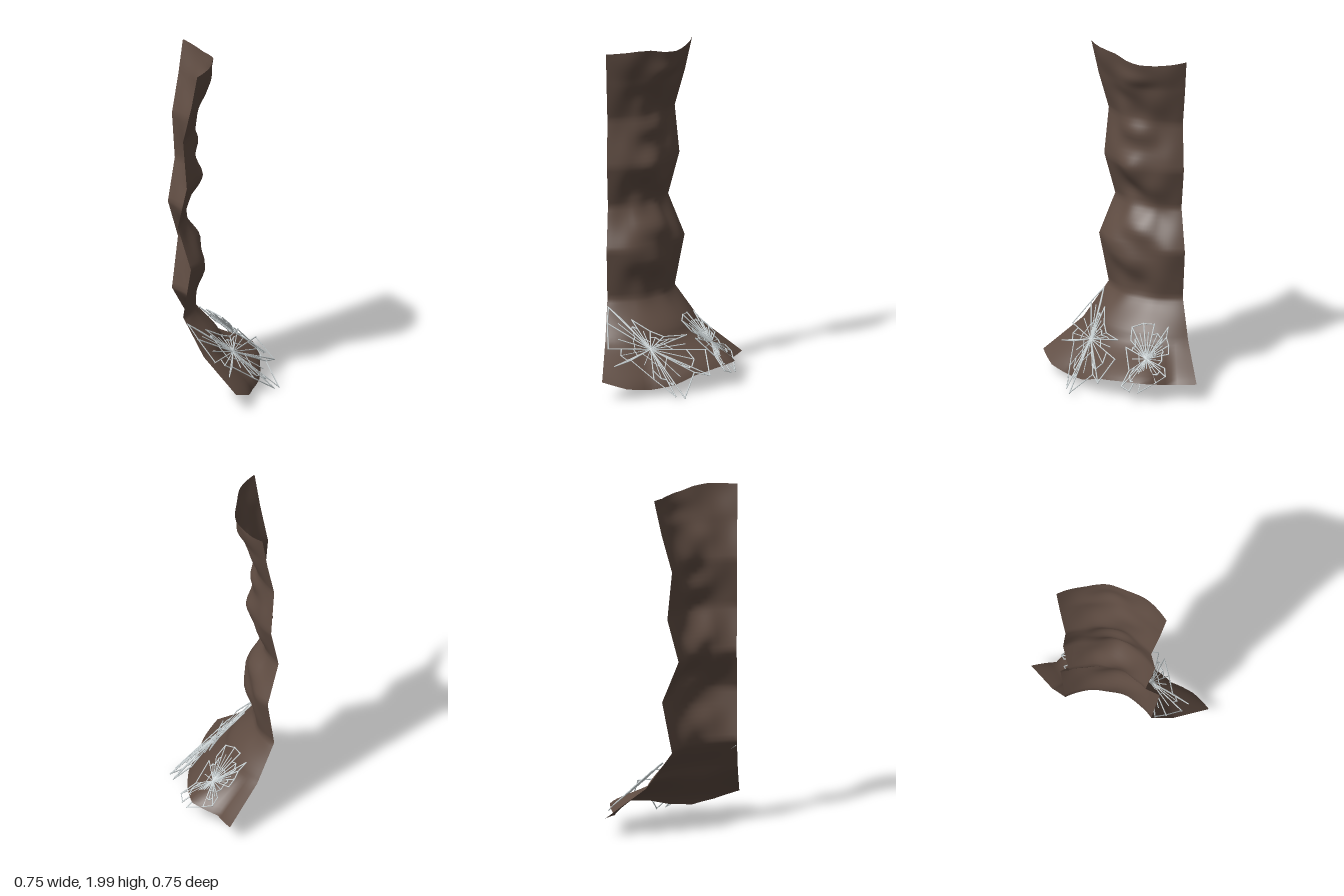
import * as THREE from 'three';
import { mergeGeometries } from 'three/addons/utils/BufferGeometryUtils.js';

const bark = new THREE.MeshStandardMaterial({ color: 0x5f4c42, side: THREE.DoubleSide });
bark.name = 'dark brown rock';
const silk = new THREE.MeshStandardMaterial({ color: 0xd4dcde });
silk.name = 'pale silk';

// Quarter-round wall around the corner axis (AXIS, AXIS)
const AXIS = -0.373;
const ROW_Y = [2, 1.79, 1.57, 1.29, 1.04, 0.8, 0.5, 0.29, 0.11];
const EDGE_R = [0.463, 0.42, 0.36, 0.387, 0.322, 0.417, 0.36, 0.51, 0.745];
const MID_R = [0.46, 0.41, 0.345, 0.375, 0.305, 0.41, 0.355, 0.51, 0.745];
// Rims, sampled evenly from the front end to the side end
const TOP_Y = [1.99, 1.995, 2, 1.995, 1.975, 1.965, 1.965, 1.975, 1.99];
const FOOT_Y = [0.11, 0.065, 0.045, 0.06, 0.1, 0.12, 0.13, 0.1, 0.11];
const FOOT_R = [0.745, 0.74, 0.708, 0.725, 0.733, 0.76, 0.79, 0.71, 0.748];
// Local ledges and hollows: position across, height, depth
const LUMPS = [
  [0.6, 1.87, 0.03], [0.35, 1.72, -0.015], [0.45, 1.5, 0.025], [0.65, 1.42, -0.02],
  [0.4, 1.3, 0.02], [0.38, 1.13, -0.025], [0.62, 1.15, 0.015], [0.45, 0.92, 0.025],
  [0.6, 0.8, -0.025], [0.3, 0.72, 0.015], [0.5, 0.58, -0.01],
];

function sample(table, t, ease = 0) {
  const s = t * (table.length - 1);
  const i = Math.min(Math.floor(s), table.length - 2);
  const f = s - i;
  const g = THREE.MathUtils.lerp(f, f * f * (3 - 2 * f), ease);
  return THREE.MathUtils.lerp(table[i], table[i + 1], g);
}

function createWall() {
  const geo = new THREE.PlaneGeometry(1, 1, 32, 80);
  const pos = geo.attributes.position;
  for (let i = 0; i < pos.count; i++) {
    const u = pos.getX(i) + 0.5;
    const v = 0.5 - pos.getY(i);
    const inner = Math.sin(Math.PI * u);
    const topFade = Math.max(0, 1 - v * 8);
    const footFade = Math.max(0, v * 8 - 7);
    let y = sample(ROW_Y, v);
    let r = THREE.MathUtils.lerp(sample(EDGE_R, v), sample(MID_R, v, 0.6), Math.min(1, inner * 1.4));
    // ledges and fine ripples, fading at the ends and over the flared foot
    let lump = 0.005 * (Math.sin(9 * u + 23 * y) + Math.sin(17 * u - 11 * y + 1));
    for (const [lu, ly, depth] of LUMPS) {
      lump += depth * Math.exp(-(((u - lu) / 0.17) ** 2) - ((y - ly) / 0.065) ** 2);
    }
    r += lump * inner * THREE.MathUtils.smoothstep(y, 0.3, 0.65);
    r += (sample(FOOT_R, u) - 0.745) * footFade;
    y += (sample(TOP_Y, u) - 2) * topFade + (sample(FOOT_Y, u) - 0.11) * footFade;
    const a = u * Math.PI / 2;
    pos.setXYZ(i, AXIS + r * Math.sin(a), y, AXIS + r * Math.cos(a));
  }
  geo.computeVertexNormals();
  const mesh = new THREE.Mesh(geo, bark);
  mesh.name = 'rockWall';
  return mesh;
}

// Thin four-sided thread between two points
function thread(a, b, radius = 0.0038) {
  const dir = b.clone().sub(a);
  const geo = new THREE.CylinderGeometry(radius, radius, dir.length(), 4, 1);
  geo.applyQuaternion(new THREE.Quaternion().setFromUnitVectors(
    new THREE.Vector3(0, 1, 0), dir.clone().normalize()));
  const mid = a.clone().add(b).multiplyScalar(0.5);
  return geo.translate(mid.x, mid.y, mid.z);
}

// Web of spokes to [x, z] tips, on a plane falling by slopeX and slopeZ
function createWeb(name, center, slopeX, slopeZ, tips) {
  const hub = new THREE.Vector3(...center);
  const ends = tips.map(([x, z]) => new THREE.Vector3(
    x, hub.y - slopeX * (x - hub.x) - slopeZ * (z - hub.z), z));
  const parts = [];
  const at = (i, f) => hub.clone().lerp(ends[i % ends.length], f);
  ends.forEach((end, i) => {
    parts.push(thread(hub, end));
    // shorter spoke between neighbours
    const between = at(i, 0.75).lerp(at(i + 1, 0.75), 0.5);
    parts.push(thread(hub, between, 0.003));
    // cross threads, with some left out
    if (i % 4 !== 1) parts.push(thread(at(i, 0.98), at(i + 1, 0.98)));
    if (i % 3 !== 0) parts.push(thread(at(i, 0.68), between), thread(between, at(i + 1, 0.64)));
    if (i % 3 !== 2) parts.push(thread(at(i, 0.4), at(i + 1, 0.36), 0.003));
  });
  const mesh = new THREE.Mesh(mergeGeometries(parts), silk);
  mesh.name = name;
  return mesh;
}

export function createModel() {
  const model = new THREE.Group();
  model.name = 'rockColumnWithWebs';
  model.add(createWall());
  model.add(createWeb('frontWeb', [-0.11, 0.25, 0.147], 0.3, 1.03, [
    [-0.37, 0.09], [-0.355, 0.205], [-0.31, 0.275], [-0.22, 0.225], [-0.08, 0.28], [0.05, 0.325],
    [0.105, 0.32], [0.15, 0.19], [0.24, 0.18], [0.205, 0.07], [0.09, 0.03], [-0.04, 0.07],
    [-0.12, 0.065], [-0.23, 0.04], [-0.29, 0.05], [-0.37, 0.015],
  ]));
  model.add(createWeb('sideWeb', [0.22, 0.23, -0.11], 0.9, 0.25, [
    [0.05, -0.13], [0.07, -0.19], [0.105, -0.265], [0.15, -0.245], [0.19, -0.25], [0.23, -0.24],
    [0.29, -0.205], [0.33, -0.2], [0.345, -0.14], [0.365, -0.03], [0.345, 0.02], [0.31, 0.06],
    [0.25, 0], [0.135, -0.005], [0.11, -0.04], [0.05, -0.06],
  ]));
  return model;
}
